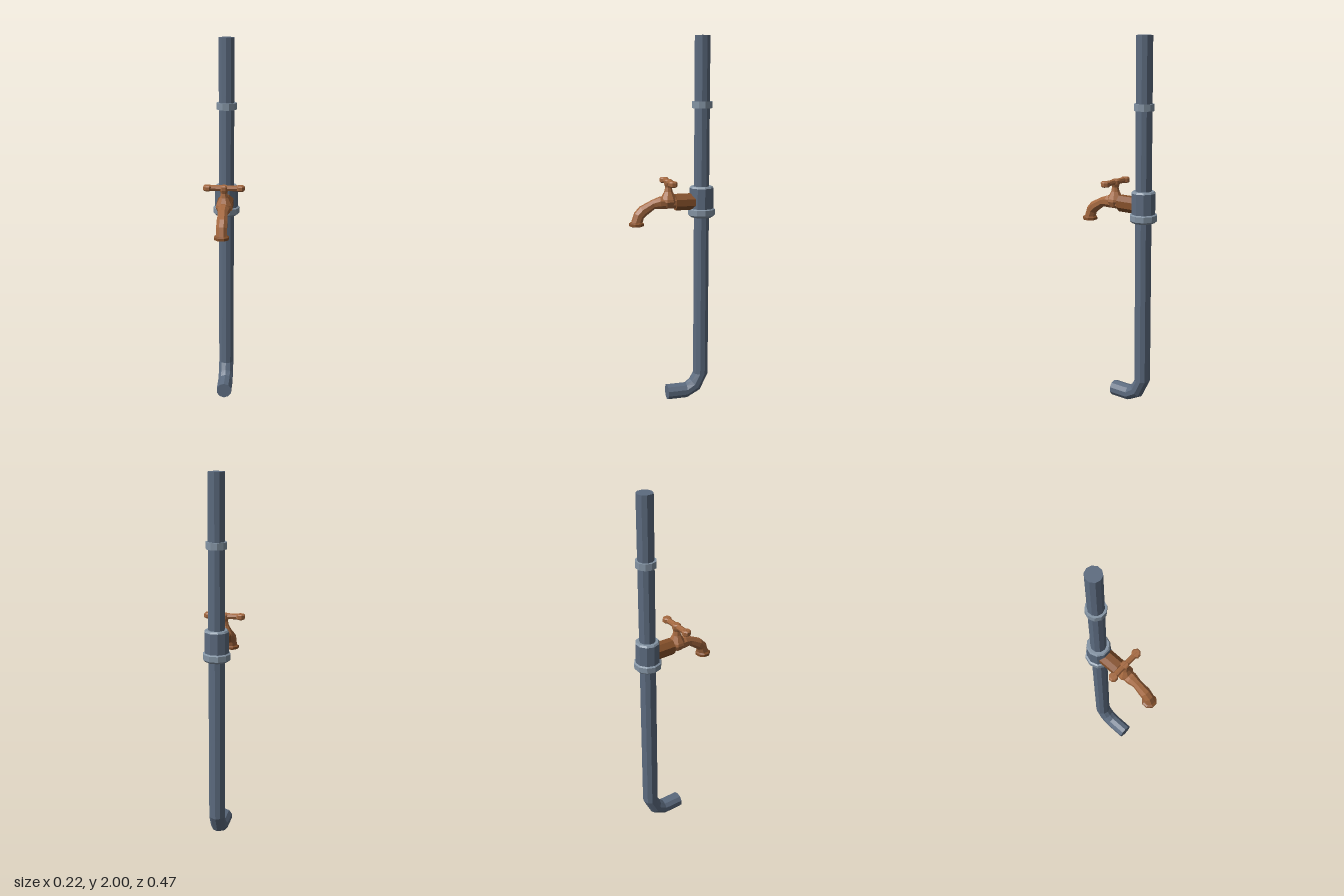
import * as THREE from 'three';

const mat = (name, color) => {
  const m = new THREE.MeshStandardMaterial({ color });
  m.name = name;
  return m;
};

// Faceted normals for the low-poly look
function facet(geo) {
  const g = geo.index ? geo.toNonIndexed() : geo;
  g.computeVertexNormals();
  return g;
}

// Tube through rings [y, z, radius, heading]; heading 0 is +z, 90 is +y
function sweep(rings, sides) {
  const pos = [], idx = [];
  rings.forEach(([y, z, r, deg]) => {
    const h = THREE.MathUtils.degToRad(deg);
    const ty = Math.sin(h), tz = Math.cos(h);
    for (let j = 0; j < sides; j++) {
      const a = ((j + 0.5) / sides) * Math.PI * 2;
      pos.push(r * Math.cos(a), y + r * Math.sin(a) * tz, z - r * Math.sin(a) * ty);
    }
  });
  const last = (rings.length - 1) * sides;
  for (let i = 0; i < last; i += sides) {
    for (let j = 0; j < sides; j++) {
      const k = (j + 1) % sides;
      idx.push(i + j, i + k, i + sides + k, i + j, i + sides + k, i + sides + j);
    }
  }
  // End caps
  for (let j = 1; j < sides - 1; j++) {
    idx.push(0, j + 1, j, last, last + j, last + j + 1);
  }
  const g = new THREE.BufferGeometry();
  g.setAttribute('position', new THREE.Float32BufferAttribute(pos, 3));
  g.setIndex(idx);
  return facet(g);
}

// Turned part around a vertical axis, profile [radius, y] from bottom to top
function turned(profile, sides) {
  const pts = profile.map(([r, y]) => new THREE.Vector2(r, y));
  return facet(new THREE.LatheGeometry(pts, sides, Math.PI / sides));
}

export function createModel() {
  const model = new THREE.Group();
  model.name = 'standpipeWithTap';
  const steel = mat('blue grey steel', 0x5c6b7f);
  const paleSteel = mat('pale steel', 0x8393a3);
  const copper = mat('copper', 0xa4683f);
  const darkCopper = mat('dark copper', 0x85502a);

  const add = (name, geo, material, x = 0, y = 0, z = 0, parent = model) => {
    const m = new THREE.Mesh(geo, material);
    m.name = name;
    m.position.set(x, y, z);
    parent.add(m);
    return m;
  };
  const pipeZ = -0.166;

  // Main pipe with its elbow and foot
  add('pipe', sweep([
    [0.043, 0.03, 0.043, 180],
    [0.043, -0.08, 0.043, 180],
    [0.073, -0.132, 0.043, 138],
    [0.14, pipeZ, 0.043, 90],
    [2, pipeZ, 0.043, 90],
  ], 10), steel);

  // Upper joint ring
  add('jointRing', turned([
    [0.04, 1.622], [0.055, 1.622], [0.055, 1.658], [0.04, 1.658],
  ], 10), paleSteel, 0, 0, pipeZ);

  // Collar around the pipe where the tap is fitted
  add('collar', turned([
    [0.04, 1.04], [0.065, 1.04], [0.065, 1.195],
  ], 10), steel, 0, 0, pipeZ);
  add('collarRim', turned([
    [0.065, 1.195], [0.058, 1.204], [0.04, 1.204],
  ], 10), paleSteel, 0, 0, pipeZ);
  add('collarBand', turned([
    [0.06, 1.036], [0.068, 1.042], [0.074, 1.048], [0.074, 1.078], [0.064, 1.084],
  ], 10), paleSteel, 0, 0, pipeZ);

  // Tap
  const tap = new THREE.Group();
  tap.name = 'tap';
  model.add(tap);

  add('tapInlet', sweep([
    [1.122, -0.13, 0.046, 0],
    [1.122, -0.016, 0.046, 0],
  ], 8), darkCopper, 0, 0, 0, tap);

  add('tapSpout', sweep([
    [1.122, -0.03, 0.034, 0],
    [1.122, 0.07, 0.034, 0],
    [1.115, 0.105, 0.026, -15],
    [1.083, 0.16, 0.031, -40],
    [1.058, 0.184, 0.03, -60],
    [1.015, 0.198, 0.031, -90],
  ], 8), copper, 0, 0, 0, tap);

  add('spoutMouth', turned([
    [0, 1.008], [0.028, 1.008], [0.03, 1.0], [0.041, 1.004], [0.041, 1.017], [0.03, 1.024],
  ], 8), darkCopper, 0, 0, 0.197, tap);

  // Valve bonnet and spindle
  const valveZ = 0.02;
  add('bonnet', turned([
    [0, 1.1], [0.034, 1.1], [0.047, 1.128], [0.044, 1.142], [0.023, 1.182],
    [0.018, 1.205], [0.024, 1.222], [0.024, 1.24], [0.017, 1.247], [0, 1.247],
  ], 8), copper, 0, 0, valveZ, tap);

  // Handle bar with a knob at each end
  const bar = add('handleBar', facet(new THREE.CylinderGeometry(0.016, 0.016, 0.18, 8)),
    copper, 0, 1.232, valveZ, tap);
  bar.rotation.z = Math.PI / 2;
  for (const side of [-1, 1]) {
    add(side > 0 ? 'leftKnob' : 'rightKnob', turned([
      [0, 1.217], [0.019, 1.217], [0.025, 1.223], [0.025, 1.241], [0.019, 1.247], [0, 1.247],
    ], 8), copper, side * 0.087, 0, valveZ, tap);
  }

  return model;
}
